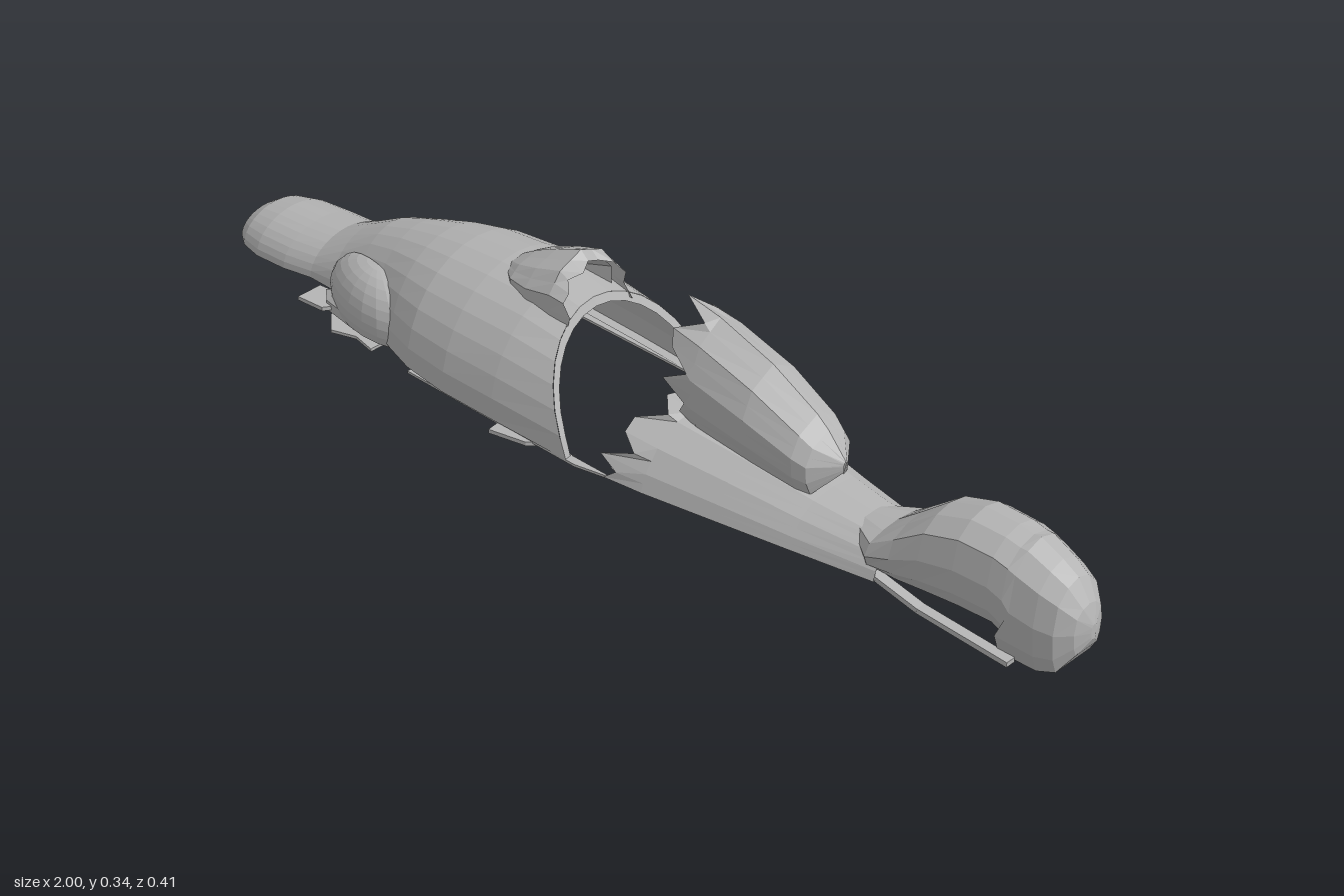
import * as THREE from 'three';

const hull = new THREE.MeshStandardMaterial({ color: 0xb4b4b4, side: THREE.DoubleSide });
hull.name = 'hull grey';

// Half profile (outer foot to crown, as fractions of width and height), subdivided and mirrored
function mirrored(half, n = 1) {
  const fine = [];
  for (let k = 0; k < half.length - 1; k++) {
    for (let s = 0; s < n; s++) {
      const t = s / n;
      fine.push([0, 1].map(a => half[k][a] * (1 - t) + half[k + 1][a] * t));
    }
  }
  return [...fine, half[half.length - 1], ...fine.reverse().map(([z, y]) => [-z, y])];
}

function part(name, geometry, x = 0, y = 0, z = 0) {
  const flat = geometry.index ? geometry.toNonIndexed() : geometry;
  flat.computeVertexNormals();
  const mesh = new THREE.Mesh(flat, hull);
  mesh.name = name;
  mesh.position.set(x, y, z);
  return mesh;
}

// Skin along x through sections [x, top, bottom, halfWidth]; bend(x, i, j, y) shifts edges
function loft(name, sections, profile, bend = x => x) {
  const pos = [], index = [], m = profile.length;
  sections.forEach(([x, top, bottom, w], i) => profile.forEach(([pz, py], j) => {
    const y = bottom + (top - bottom) * py;
    pos.push(bend(x, i, j, y), y, w * pz);
  }));
  for (let i = 0; i < sections.length - 1; i++) {
    for (let j = 0; j < m - 1; j++) {
      const a = i * m + j, b = a + m;
      index.push(a, b, b + 1, a, b + 1, a + 1);
    }
  }
  const g = new THREE.BufferGeometry();
  g.setAttribute('position', new THREE.Float32BufferAttribute(pos, 3));
  g.setIndex(index);
  return part(name, g);
}

// Thin splintered plate drawn in x, z
function plate(name, points, y, thick = 0.008) {
  const shape = new THREE.Shape(points.map(([x, z]) => new THREE.Vector2(x, -z)));
  const g = new THREE.ExtrudeGeometry(shape, { depth: thick, bevelEnabled: false });
  g.rotateX(-Math.PI / 2);
  return part(name, g, 0, y, 0);
}

// Uneven tooth lengths for the broken edges
const teeth = [0, 0.05, 0.01, 0.03, -0.015, 0.045, 0.005];
const tooth = j => teeth[j % teeth.length];

export function createModel() {
  const model = new THREE.Group();
  model.name = 'wreckedSpeeder';

  // Front hull, open below, with a slanted broken rear edge
  const arch = [[0.9, 0]];
  for (let k = 0; k <= 8; k++) {
    const a = k / 8 * Math.PI / 2;
    arch.push([Math.cos(a), Math.sin(a)]);
  }
  const round = mirrored(arch);
  const slant = (x, y) => x - 0.11 * Math.max(0, y - 0.04) / 0.19;
  model.add(loft('frontHull', [
    [-1, 0.035, 0.028, 0.008], [-0.995, 0.045, 0.025, 0.038], [-0.98, 0.064, 0.022, 0.066],
    [-0.95, 0.083, 0.022, 0.086], [-0.9, 0.094, 0.024, 0.098], [-0.82, 0.1, 0.032, 0.102],
    [-0.75, 0.108, 0.04, 0.097], [-0.69, 0.138, 0.04, 0.098], [-0.62, 0.175, 0.035, 0.108],
    [-0.55, 0.2, 0.035, 0.125], [-0.47, 0.222, 0.038, 0.157], [-0.4, 0.235, 0.04, 0.18],
    [-0.3, 0.244, 0.038, 0.19], [-0.18, 0.245, 0.036, 0.188], [0, 0.232, 0.032, 0.182],
  ], round, (x, i, j, y) => i === 14 ? slant(x, y) : x));
  // Thick rim inside the broken edge
  model.add(loft('hullRim', [[0, 0.232, 0.03, 0.182], [-0.002, 0.216, 0.03, 0.168]],
    round, (x, i, j, y) => slant(x, y)));

  // Faceted hump behind the cockpit
  const facet = [[1, 0], [1, 0.5], [0.65, 0.82], [0, 1]];
  model.add(loft('headrest', [
    [-0.285, 0.247, 0.22, 0.04], [-0.25, 0.268, 0.21, 0.066], [-0.2, 0.292, 0.2, 0.079],
    [-0.14, 0.316, 0.2, 0.079], [-0.1, 0.3, 0.205, 0.075],
  ], mirrored(facet, 2), (x, i, j, y) => i === 4 ? x - (y - 0.205) * 0.25 + tooth(j) * 0.25 : x));
  model.add(loft('headrestInside', [[-0.13, 0.3, 0.215, 0.065], [-0.19, 0.27, 0.22, 0.05], [-0.2, 0.23, 0.225, 0.01]],
    mirrored(facet)));

  // Tapering rear deck with a splintered front edge
  model.add(loft('rearDeck', [
    [0.07, 0.15, 0.03, 0.172], [0.16, 0.14, 0.03, 0.162], [0.3, 0.125, 0.03, 0.137],
    [0.45, 0.104, 0.03, 0.11], [0.61, 0.09, 0.03, 0.08],
  ], mirrored([[0.84, 0.02], [1, 0], [0.93, 0.3], [0.75, 0.65], [0.45, 0.93], [0, 1]], 2),
  (x, i, j, y) => i === 0 ? x + tooth(j) + (y - 0.03) * 0.2 : x));

  // Broken canopy with a pointed tail end
  model.add(loft('canopy', [
    [0.115, 0.335, 0.12, 0.073], [0.19, 0.322, 0.12, 0.075], [0.31, 0.283, 0.112, 0.075],
    [0.41, 0.23, 0.1, 0.065], [0.435, 0.21, 0.1, 0.056], [0.475, 0.165, 0.145, 0.005],
  ], mirrored([[0.75, 0], [0.95, 0.25], [1, 0.55], [0.7, 0.83], [0, 1]], 2),
  (x, i, j, y) => i === 0 ? x + (j === 8 ? 0 : 0.01 + tooth(j + 1)) + (0.335 - y) * 0.1 : x));

  // Bulbous tail, raised over the side slots and closed at the end
  model.add(loft('tail', [
    [0.53, 0.095, 0.06, 0.04], [0.59, 0.105, 0.042, 0.082], [0.64, 0.145, 0.042, 0.082],
    [0.7, 0.195, 0.048, 0.08], [0.77, 0.22, 0.054, 0.078], [0.84, 0.22, 0.056, 0.076],
    [0.87, 0.215, 0.04, 0.075], [0.855, 0.217, 0.004, 0.074], [0.93, 0.197, 0.002, 0.068],
    [0.963, 0.178, 0.012, 0.058], [0.988, 0.14, 0.05, 0.036], [1, 0.105, 0.075, 0.006], [1, 0.09, 0.09, 0],
  ], mirrored([[0, 0], [0.75, 0], [0.92, 0.18], [1, 0.48], [0.85, 0.8], [0.45, 0.95], [0, 1]]),
  (x, i, j, y) => i === 7 && y > 0.06 ? 0.885 : x));

  // Engine block between the front pods, and the recessed nose floor
  model.add(part('engineBlock', new THREE.BoxGeometry(0.1, 0.04, 0.14), -0.66, 0.06, 0));
  model.add(plate('noseFloor', [[-0.96, -0.03], [-0.96, 0.03], [-0.88, 0.055], [-0.71, 0.05], [-0.71, -0.05], [-0.88, -0.055]], 0.042, 0.006));

  for (const s of [1, -1]) {
    const side = s > 0 ? 'left' : 'right';
    const at = pts => pts.map(([x, z]) => [x, z * s]);

    // Sagging rail below the tail slot
    for (const [x0, y0, x1, y1] of [[0.6, 0.035, 0.7, 0.015], [0.7, 0.015, 0.89, 0.006]]) {
      const rail = part(side + 'TailRail', new THREE.BoxGeometry(Math.hypot(x1 - x0, y1 - y0), 0.01, 0.02),
        (x0 + x1) / 2, (y0 + y1) / 2, 0.066 * s);
      rail.rotation.z = Math.atan2(y1 - y0, x1 - x0);
      model.add(rail);
    }

    // Round fairing over the front engine: the outer half of a dome
    const dome = part(side + 'Fairing',
      new THREE.SphereGeometry(1, 10, 9, s > 0 ? 0 : Math.PI, Math.PI, 0, Math.PI * 0.62), -0.57, 0.06, 0.09 * s);
    dome.scale.set(0.135, 0.084, 0.066);
    dome.rotation.y = -0.2 * s;
    model.add(dome);

    // Engine wreckage beneath the fairing
    const pod = part(side + 'EnginePod', new THREE.SphereGeometry(1, 8, 5), -0.595, 0.034, 0.108 * s);
    pod.scale.set(0.105, 0.032, 0.038);
    model.add(pod);
    model.add(plate(side + 'EngineSkid', at([[-0.66, 0.07], [-0.67, 0.12], [-0.63, 0.157], [-0.58, 0.14],
      [-0.53, 0.15], [-0.53, 0.08]]), 0, 0.006));
    model.add(plate(side + 'FrontFin', at([[-0.72, 0.1], [-0.72, 0.155], [-0.66, 0.15], [-0.62, 0.09]]), 0.03));

    // Bent slivers along the sill
    model.add(plate(side + 'SillShard', at([[-0.17, 0.17], [-0.165, 0.207], [-0.09, 0.19], [-0.07, 0.17]]), 0.022));
    model.add(plate(side + 'SillStrip', at([[-0.4, 0.165], [-0.4, 0.18], [0.02, 0.182], [0.1, 0.165], [0, 0.165]]), 0.027, 0.005));
  }
  return model;
}
